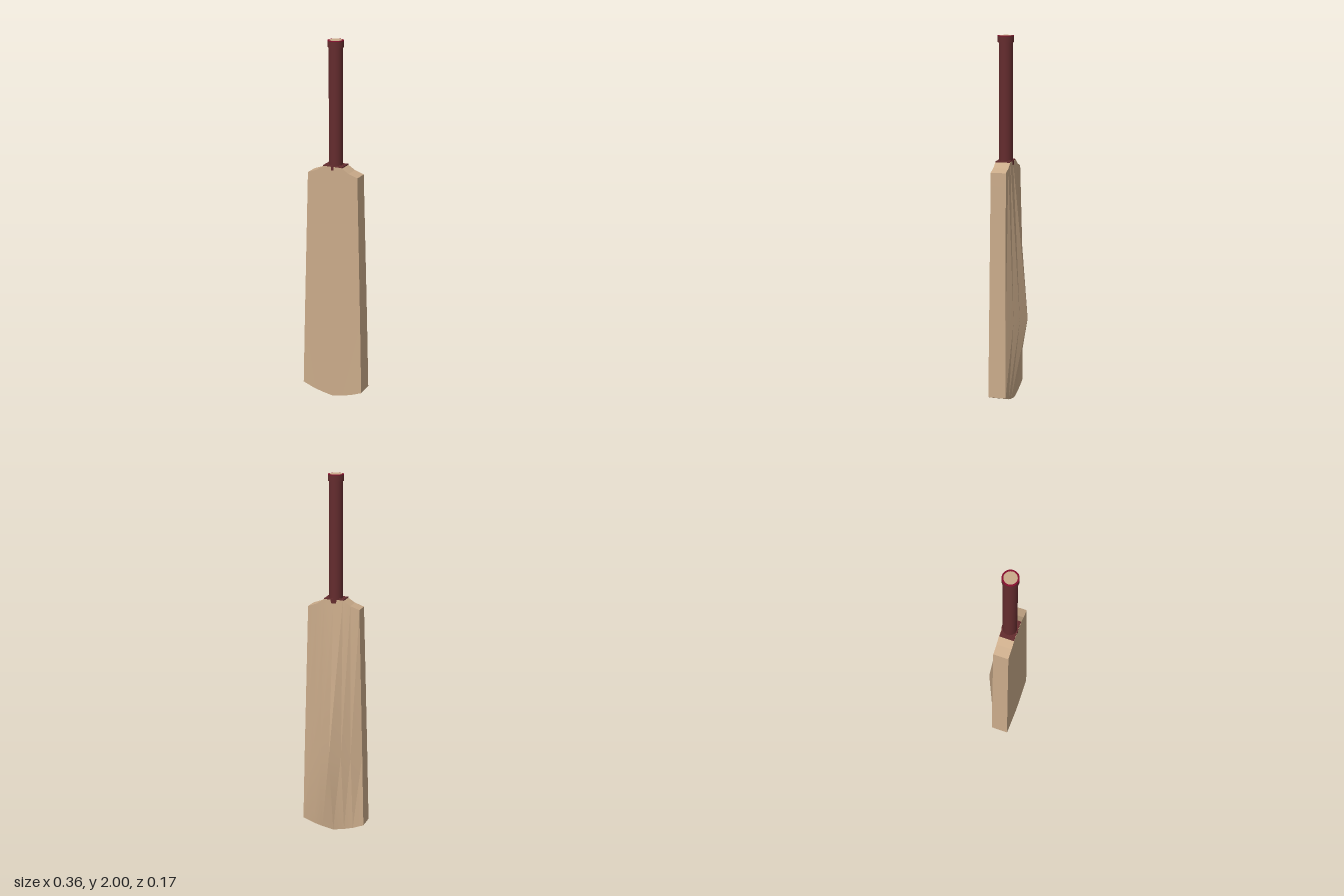
import * as THREE from 'three';
import { toCreasedNormals } from 'three/addons/utils/BufferGeometryUtils.js';

const wood = new THREE.MeshStandardMaterial({ name: 'willow wood', color: 0xcaab8a });
const grip = new THREE.MeshStandardMaterial({ name: 'maroon grip', color: 0x642c2e });
const crimson = new THREE.MeshStandardMaterial({ name: 'crimson rim', color: 0x86102e });

const HANDLE_Z = 0.036;

// Blade: lofted across its width, each section a loop up the face and down the back
function bladeGeometry() {
  // u (fraction of half width), top height, bottom height
  const half = [[0, 1.33, 0], [0.36, 1.33, 0.012], [0.65, 1.303, 0.026], [1, 1.285, 0.05]];
  const columns = [
    ...half.slice(1).reverse().map(([u, t, b]) => [-u, t, b]),
    ...half,
  ];
  const sections = columns.map(([u, top, bottom]) => {
    const ridge = -0.009 - 0.078 * (1 - Math.abs(u));
    return [
      [0.178 * u, bottom, 0.087],
      [0.168 * u, 0.46, 0.084],
      [0.145 * u, top, 0.079],
      [0.145 * u, top, -0.004],
      [0.168 * u, 0.46, ridge],
      [0.178 * u, bottom, -0.011],
    ];
  });
  const positions = [];
  const quad = (a, b, c, d) => positions.push(...a, ...b, ...c, ...a, ...c, ...d);
  for (let i = 0; i < sections.length - 1; i++) {
    const l = sections[i], r = sections[i + 1];
    for (let j = 0; j < 6; j++) {
      const k = (j + 1) % 6;
      quad(l[j], r[j], r[k], l[k]);
    }
  }
  // Flat side edges
  const l = sections[0], r = sections[sections.length - 1];
  quad(l[0], l[1], l[4], l[5]);
  quad(l[1], l[2], l[3], l[4]);
  quad(r[0], r[5], r[4], r[1]);
  quad(r[1], r[4], r[3], r[2]);
  const geometry = new THREE.BufferGeometry();
  geometry.setAttribute('position', new THREE.Float32BufferAttribute(positions, 3));
  return toCreasedNormals(geometry, 0.22);
}

export function createModel() {
  const bat = new THREE.Group();
  bat.name = 'cricketBat';

  const add = (name, geometry, material, y = 0, z = HANDLE_Z) => {
    const mesh = new THREE.Mesh(geometry, material);
    mesh.name = name;
    mesh.position.set(0, y, z);
    bat.add(mesh);
    return mesh;
  };
  const rod = (radius, height) => new THREE.CylinderGeometry(radius, radius, height, 24);

  add('blade', bladeGeometry(), wood, 0, 0);

  // Handle with its collar at the shoulder
  add('handle', rod(0.037, 0.65), grip, 1.645);
  add('shoulderPlate', new THREE.BoxGeometry(0.112, 0.006, 0.08), grip, 1.331, 0.038);
  add('handleCollar', rod(0.044, 0.024), grip, 1.323);

  // Grip end: thick band, crimson rim and exposed wooden core
  add('gripBand', rod(0.043, 0.032), grip, 1.979);
  add('gripRim', rod(0.043, 0.004), crimson, 1.997);
  add('handleCore', rod(0.034, 0.004), wood, 1.998);

  return bat;
}
